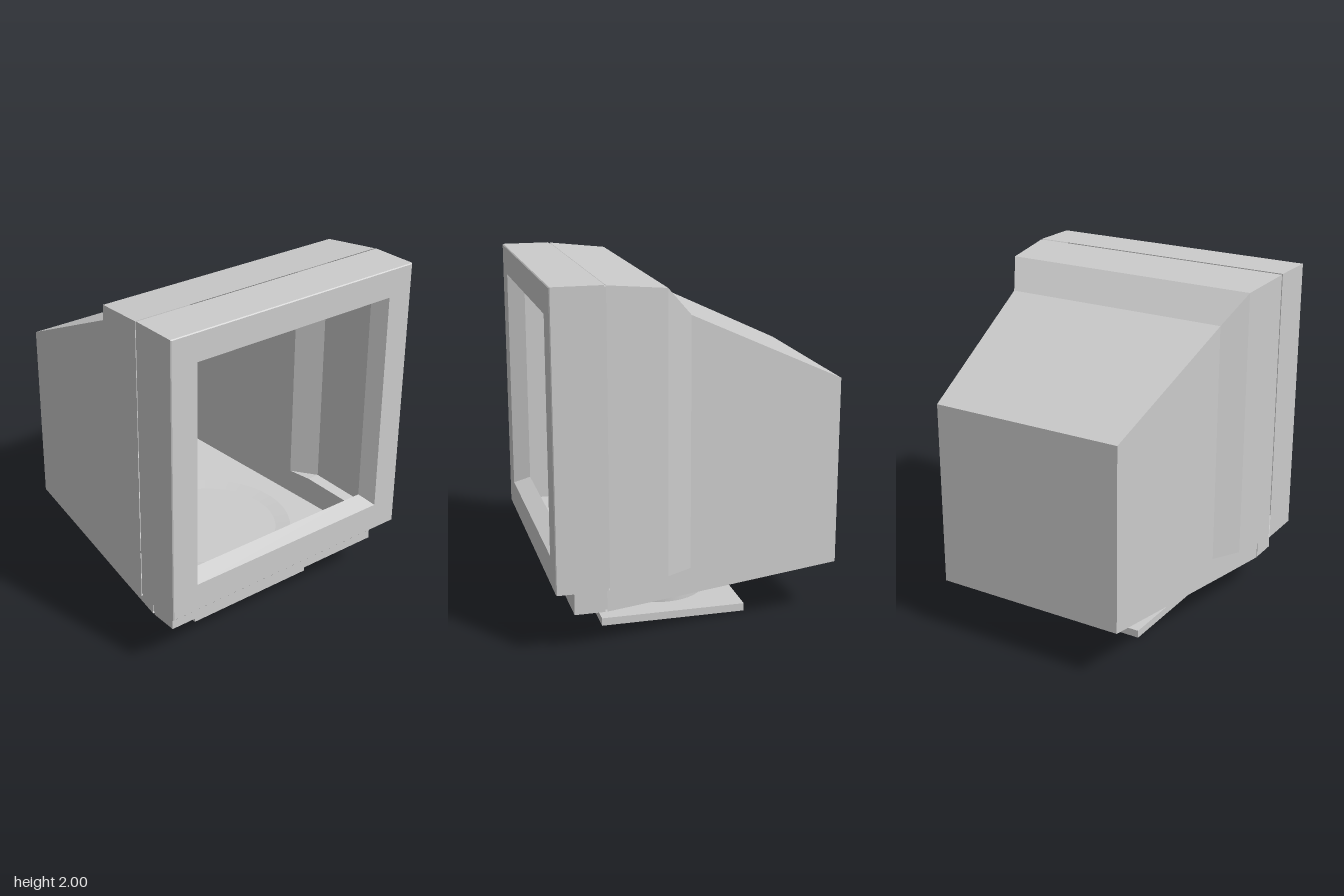
import * as THREE from 'three';

const grey = (flat = true) => new THREE.MeshStandardMaterial({
  color: 0xcccccc, flatShading: flat, side: THREE.DoubleSide,
});

// Skins a list of closed loops of [x, y, z] points, ordered back to front.
function loft(loops, capBack = false) {
  const n = loops[0].length;
  const index = [];
  for (let s = 0; s < loops.length - 1; s++) {
    for (let i = 0; i < n; i++) {
      const j = (i + 1) % n;
      const a = s * n + i, b = s * n + j, c = b + n, d = a + n;
      index.push(a, b, c, a, c, d);
    }
  }
  if (capBack) for (let i = 1; i < n - 1; i++) index.push(0, i + 1, i);
  const g = new THREE.BufferGeometry();
  g.setAttribute('position', new THREE.Float32BufferAttribute(loops.flat(2), 3));
  g.setIndex(index);
  const flat = g.toNonIndexed();
  flat.computeVertexNormals();
  return flat;
}

const rect = (x, y0, y1, z) => [[-x, y0, z], [x, y0, z], [x, y1, z], [-x, y1, z]];

// Section of the housing: a narrow lower part and a wider upper part.
const section = ([z, low, wide, bottom, step, top]) => [
  [-low, bottom, z], [low, bottom, z], [low, step, z], [wide, step, z],
  [wide, top, z], [-wide, top, z], [-wide, step, z], [-low, step, z],
];

export function createModel() {
  const model = new THREE.Group();
  const add = (name, geometry, flat = true, x = 0, y = 0, z = 0) => {
    const mesh = new THREE.Mesh(geometry, grey(flat));
    mesh.name = name;
    mesh.position.set(x, y, z);
    model.add(mesh);
  };

  // Hollow rear housing, open towards the bezel
  add('rearHousing', loft([
    [-0.825, 0.573, 0.573, 0.315, 0.40, 1.39],
    [0.06, 0.68, 0.68, 0.256, 0.405, 1.803],
    [0.21, 0.698, 0.775, 0.246, 0.41, 1.965],
    [0.537, 0.736, 0.81, 0.225, 0.375, 1.998],
  ].map(section), true));

  // Shallow groove between housing and bezel
  add('seamBand', loft([
    section([0.53, 0.727, 0.801, 0.234, 0.384, 1.99]),
    section([0.555, 0.727, 0.801, 0.234, 0.384, 1.99]),
  ]));

  // Bezel: outer walls, front frame and sloped inner edge
  add('bezel', loft([
    rect(0.81, 0.375, 2, 0.548),
    rect(0.81, 0.375, 2, 0.82),
    rect(0.805, 0.38, 1.995, 0.825),
    rect(0.65, 0.54, 1.84, 0.825),
    rect(0.61, 0.58, 1.80, 0.73),
  ]));

  // Chin below the bezel
  add('chin', new THREE.BoxGeometry(1.47, 0.152, 0.167), true, 0, 0.3, 0.6315);

  // Swivel stand
  const standZ = 0.083;
  const points = (list) => list.map(([x, y]) => new THREE.Vector2(x, y));
  add('swivelBowl', new THREE.LatheGeometry(points([
    [0.28, 0.1], [0.36, 0.145], [0.43, 0.205], [0.47, 0.25], [0.498, 0.3],
  ]), 40), false, 0, 0, standZ);
  add('swivelRim', new THREE.LatheGeometry(points([
    [0.498, 0.3], [0.41, 0.29], [0, 0.29],
  ]), 40), true, 0, 0, standZ);
  add('standNeck', new THREE.CylinderGeometry(0.283, 0.283, 0.06, 40), false, 0, 0.072, standZ);
  add('basePlate', new THREE.BoxGeometry(0.836, 0.045, 0.836), true, 0, 0.0225, standZ);

  return model;
}
